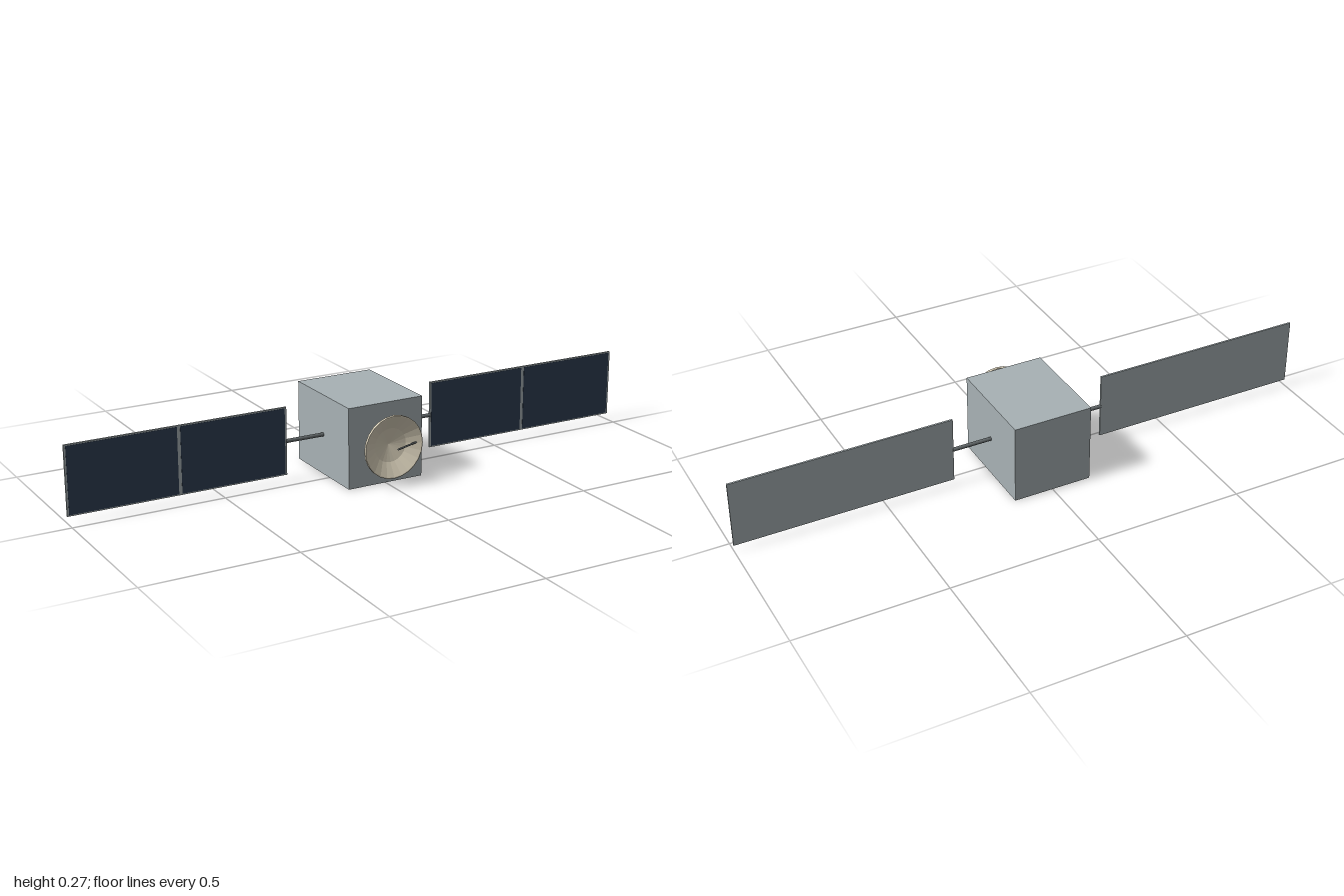
import * as THREE from 'three';

const mat = (name, color, flat = false) => {
  const m = new THREE.MeshStandardMaterial({ color, flatShading: flat });
  m.name = name;
  return m;
};

export function createModel() {
  const hull = mat('hull grey', 0xa8b2b5);
  const cell = mat('solar cell navy', 0x2f3e53);
  const cream = mat('dish cream', 0xd9d0ba, true);
  const dark = mat('strut grey', 0x62686a);

  const model = new THREE.Group();
  model.name = 'satellite';
  const midY = 0.134, wingZ = -0.0405;

  const add = (parent, name, geometry, material, x, y, z) => {
    const mesh = new THREE.Mesh(geometry, material);
    mesh.name = name;
    mesh.position.set(x, y, z);
    parent.add(mesh);
    return mesh;
  };

  // Straight round bar between two points
  const bar = (parent, name, a, b, radius, material) => {
    const curve = new THREE.LineCurve3(a, b);
    const mid = curve.getPoint(0.5);
    const mesh = add(parent, name, new THREE.CylinderGeometry(radius, radius, curve.getLength(), 12),
      material, mid.x, mid.y, mid.z);
    mesh.quaternion.setFromUnitVectors(new THREE.Vector3(0, 1, 0), b.clone().sub(a).normalize());
  };

  // Main body
  add(model, 'body', new THREE.BoxGeometry(0.266, 0.267, 0.335), hull, 0, 0.1335, -0.0405);

  // Solar wings: strut, backing panel and two cell plates facing forward
  for (const side of [1, -1]) {
    const wing = new THREE.Group();
    wing.name = side > 0 ? 'leftWing' : 'rightWing';
    model.add(wing);
    bar(wing, 'strut', new THREE.Vector3(side * 0.12, midY, wingZ),
      new THREE.Vector3(side * 0.267, midY, wingZ), 0.0065, dark);
    add(wing, 'panel', new THREE.BoxGeometry(0.735, 0.226, 0.006), hull, side * 0.6325, 0.135, wingZ);
    for (const x of [0.449, 0.816]) {
      add(wing, 'cells', new THREE.BoxGeometry(0.356, 0.218, 0.001), cell, side * x, 0.135, wingZ + 0.0033);
    }
  }

  // Antenna dish: conical back, upright rim and hollow front
  const profile = [
    [0, 0.127], [0.1035, 0.173], [0.1035, 0.182], [0.1, 0.182],
    [0.056, 0.157], [0, 0.143],
  ].map(([r, z]) => new THREE.Vector2(r, z));
  const dish = new THREE.LatheGeometry(profile, 24).rotateX(Math.PI / 2);
  add(model, 'dish', dish, cream, 0, midY, 0);

  // Feed arm leaning from the dish edge to the focus
  bar(model, 'feedArm', new THREE.Vector3(0.092, midY, 0.169),
    new THREE.Vector3(0, midY, 0.205), 0.003, dark);

  return model;
}
